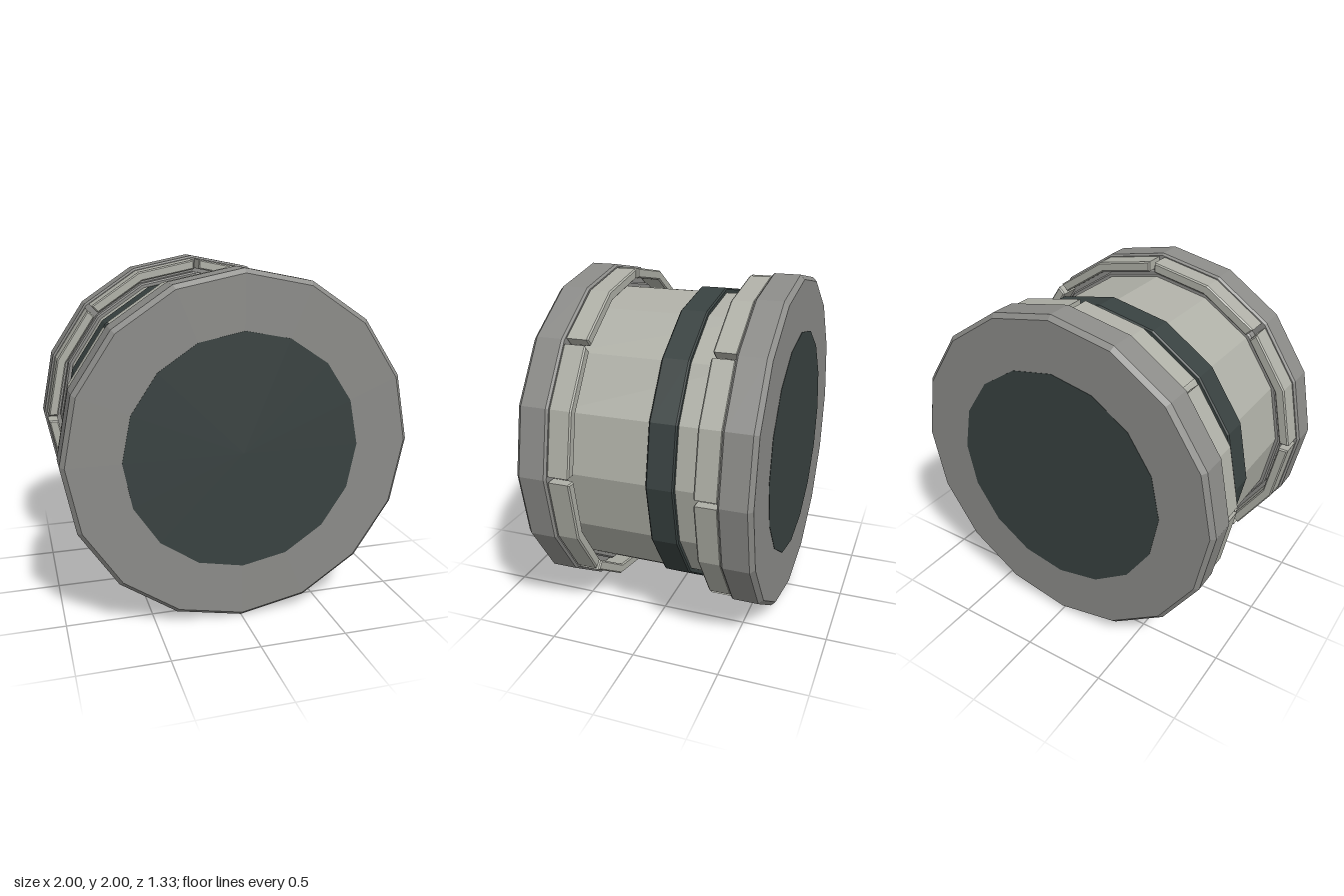
import * as THREE from 'three';

const SIDES = 16;
const STEP = (Math.PI * 2) / SIDES;

const rimGrey = new THREE.MeshStandardMaterial({ color: 0x8b8b88 });
rimGrey.name = 'rim grey';
const paleGrey = new THREE.MeshStandardMaterial({ color: 0xaeafa6 });
paleGrey.name = 'pale grey';
const darkSlate = new THREE.MeshStandardMaterial({ color: 0x384140 });
darkSlate.name = 'dark slate';

function add(parent, name, geometry, material) {
  const mesh = new THREE.Mesh(geometry, material);
  mesh.name = name;
  parent.add(mesh);
  return mesh;
}

// Faceted solid of revolution about z, from [radius, z] pairs in rising z
function turned(profile) {
  const points = profile.map(([r, z]) => new THREE.Vector2(r, z));
  const geometry = new THREE.LatheGeometry(points, SIDES).rotateX(Math.PI / 2).toNonIndexed();
  geometry.computeVertexNormals();
  return geometry;
}

// Closed disc between two depths with chamfered rims
function chamferedDisc(radius, z0, z1, c0, c1) {
  return turned([[0, z0], [radius - c0, z0], [radius, z0 + c0], [radius, z1 - c1], [radius - c1, z1], [0, z1]]);
}

const corner = (radius, k) =>
  new THREE.Vector2(Math.cos(k * STEP) * radius, Math.sin(k * STEP) * radius);

// Curved plate covering two facets, trimmed at both ends to leave a gap
function segmentPlate(outer, inner, depth) {
  const trim = 0.046, bevel = 0.008;
  const arc = (r) => [
    corner(r, 0).lerp(corner(r, 1), trim),
    corner(r, 1),
    corner(r, 2).lerp(corner(r, 1), trim),
  ];
  const shape = new THREE.Shape([...arc(outer), ...arc(inner).reverse()]);
  return new THREE.ExtrudeGeometry(shape, {
    depth: depth - 2 * bevel, bevelEnabled: true, bevelSegments: 1,
    bevelSize: bevel, bevelThickness: bevel, bevelOffset: -bevel,
  }).translate(0, 0, bevel);
}

export function createModel() {
  const model = new THREE.Group();
  model.name = 'drum';
  const drum = new THREE.Group();
  drum.name = 'drumAssembly';
  drum.position.y = 1;
  model.add(drum);

  // Central barrel and its off-centre band
  add(drum, 'barrel', turned([[0, -0.48], [0.872, -0.48], [0.872, 0.48], [0, 0.48]]), paleGrey);
  add(drum, 'band', chamferedDisc(0.9, -0.213, -0.055, 0.008, 0.008), darkSlate);

  // Matching end assemblies
  const plate = segmentPlate(0.985, 0.925, 0.132);
  const rim = chamferedDisc(1, 0.48, 0.665, 0.012, 0.025);
  const collar = chamferedDisc(0.9, 0.42, 0.482, 0.01, 0.005);
  const cap = turned([[0, 0.66], [0.675, 0.66], [0.675, 0.667], [0, 0.667]]);
  for (const side of ['front', 'back']) {
    const end = new THREE.Group();
    end.name = side + 'End';
    if (side === 'back') end.rotation.y = Math.PI;
    drum.add(end);
    add(end, 'rim', rim, rimGrey);
    add(end, 'collar', collar, rimGrey);
    add(end, 'capPlate', cap, darkSlate);
    // Eight plates ringed around the inside of the rim
    for (let i = 0; i < SIDES / 2; i++) {
      const segment = add(end, 'ringSegment', plate, paleGrey);
      segment.rotation.z = i * 2 * STEP;
      segment.position.z = 0.35;
    }
  }
  return model;
}
